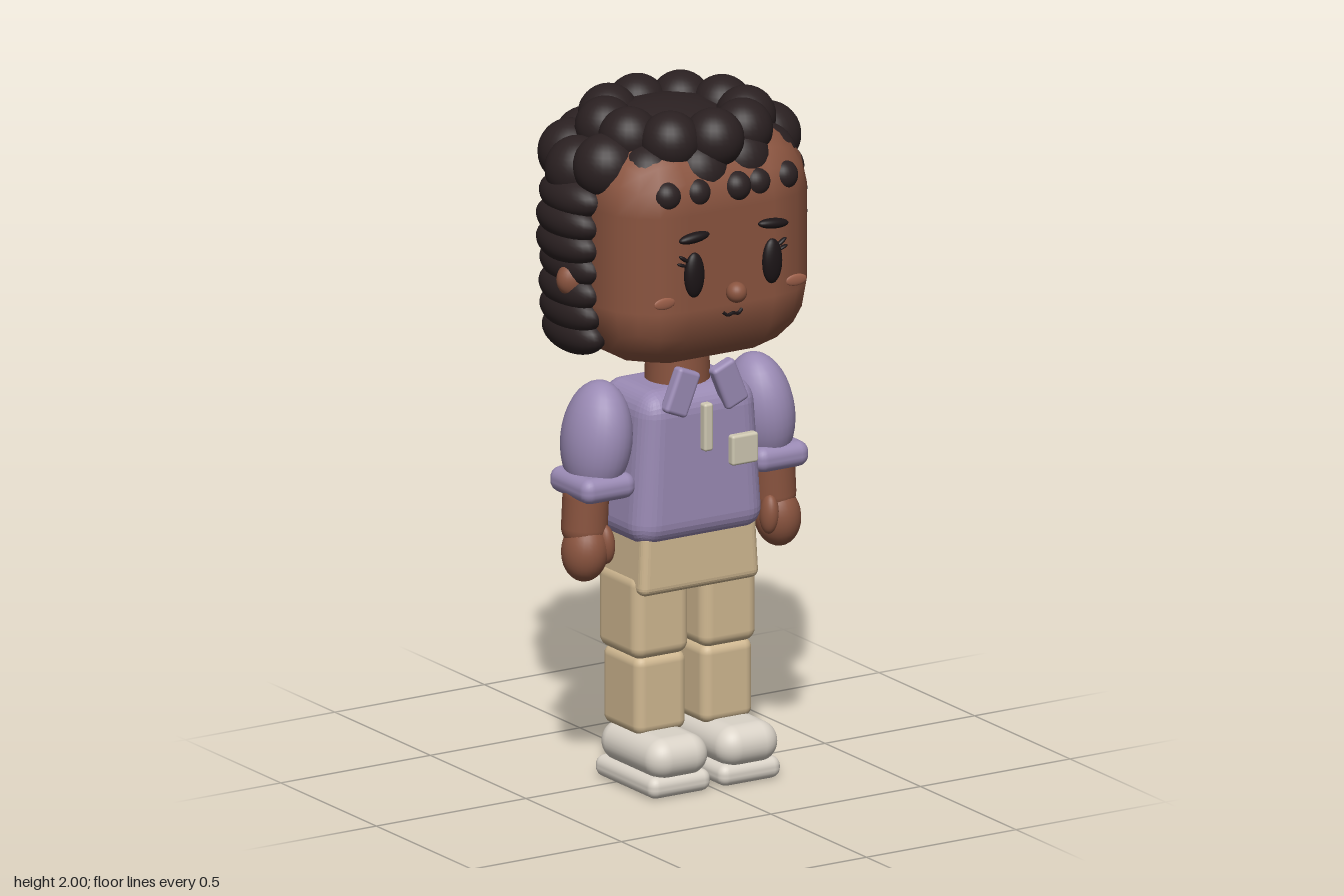
import * as THREE from 'three';
import { RoundedBoxGeometry } from 'three/addons/geometries/RoundedBoxGeometry.js';

const mat = (name, color) => {
  const m = new THREE.MeshStandardMaterial({ color });
  m.name = name;
  return m;
};

export function createModel() {
  const skin = mat('skin', 0x8a543f);
  const blush = mat('blush', 0x9c5f49);
  const hair = mat('hair', 0x2a2021);
  const dark = mat('eyeDark', 0x1c1517);
  const shirt = mat('shirt', 0x9a8ab4);
  const cream = mat('cream', 0xcfc8b2);
  const khaki = mat('khaki', 0xd0b891);
  const white = mat('shoeWhite', 0xdad3c8);

  const model = new THREE.Group();
  model.name = 'boy';

  const add = (name, geo, material, pos, rotZ = 0, parent = model) => {
    const m = new THREE.Mesh(geo, material);
    m.name = name;
    m.position.set(...pos);
    m.rotation.z = rotZ;
    parent.add(m);
    return m;
  };
  const ball = (rx, ry = rx, rz = rx) => new THREE.SphereGeometry(1, 28, 18).scale(rx, ry, rz);
  const box = (w, h, d, r, seg = 3) => new RoundedBoxGeometry(w, h, d, seg, r);
  // widen or narrow a geometry towards its top
  const taper = (geo, h, topX, topZ) => {
    const p = geo.attributes.position;
    for (let i = 0; i < p.count; i++) {
      const t = THREE.MathUtils.clamp(p.getY(i) / h + 0.5, 0, 1);
      p.setX(i, p.getX(i) * (1 + (topX - 1) * t));
      p.setZ(i, p.getZ(i) * (1 + (topZ - 1) * t));
    }
    geo.computeVertexNormals();
    return geo;
  };

  // head and neck
  add('head', box(0.68, 0.68, 0.55, 0.2, 2), skin, [0, 1.59, 0.025]);
  add('neck', new THREE.CylinderGeometry(0.09, 0.095, 0.2, 28), skin, [0, 1.19, 0.01]);

  // face
  add('nose', ball(0.03), skin, [0, 1.49, 0.32]);
  const smile = new THREE.CatmullRomCurve3([
    new THREE.Vector3(-0.032, 0.006, 0), new THREE.Vector3(-0.018, -0.004, 0.003),
    new THREE.Vector3(0, 0, 0.004), new THREE.Vector3(0.018, -0.004, 0.003),
    new THREE.Vector3(0.032, 0.006, 0)]);
  add('mouth', new THREE.TubeGeometry(smile, 16, 0.005, 6), dark, [0, 1.425, 0.298]);

  // hair cap with rings of curls
  const curls = new THREE.Group();
  curls.name = 'hair';
  model.add(curls);
  add('hairCap', ball(0.345, 0.25, 0.275), hair, [0, 1.72, -0.065], 0, curls);
  for (let i = 0; i < 10; i++) {
    const a = (i / 10) * Math.PI * 2;
    add('topCurl', ball(0.087), hair, [0.205 * Math.sin(a), 1.913, 0.2 * Math.cos(a)], 0, curls);
  }
  for (let i = 0; i < 13; i++) {
    const a = (i / 13) * Math.PI * 2 - 0.17;
    const y = 1.825 + 0.015 * Math.sin(i * 2.4);
    add('outerCurl', ball(0.095), hair, [0.3 * Math.sin(a), y, -0.03 + 0.22 * Math.cos(a)], 0, curls);
  }
  for (const [x, y, z] of [[-0.2, 1.72, -0.2], [-0.07, 1.71, -0.25], [0.07, 1.7, -0.25], [0.2, 1.72, -0.2], [0, 1.6, -0.215]])
    add('backCurl', ball(0.088), hair, [x, y, z], 0, curls);
  for (const x of [-0.19, -0.1, 0.03, 0.1, 0.2])
    add('fringeCurl', ball(0.045), hair, [x, 1.785, 0.27 - Math.abs(x) * 0.12], 0, curls);

  // torso
  add('shirtBody', taper(box(0.44, 0.45, 0.295, 0.07, 4), 0.45, 0.85, 0.96), shirt, [0, 0.94, 0.012]);
  add('placket', box(0.03, 0.14, 0.03, 0.008), cream, [0, 1.055, 0.163]);
  add('chestPocket', box(0.088, 0.088, 0.03, 0.008), cream, [0.122, 0.972, 0.163]);
  add('hips', taper(box(0.4, 0.19, 0.25, 0.025), 0.19, 0.95, 0.97), khaki, [0, 0.667, 0.014]);

  // mirrored parts
  for (const s of [1, -1]) {
    const side = new THREE.Group();
    side.name = s > 0 ? 'leftSide' : 'rightSide';
    model.add(side);
    const put = (name, geo, m, [x, y, z], rz = 0) => add(name, geo, m, [s * x, y, z], s * rz, side);

    // eye, lashes, brow, cheek, ear
    put('eye', ball(0.032, 0.066, 0.02), dark, [0.13, 1.557, 0.302]);
    put('lash', ball(0.02, 0.006, 0.008), dark, [0.162, 1.607, 0.3], 0.6);
    put('lash', ball(0.017, 0.005, 0.008), dark, [0.168, 1.59, 0.298], 0.35);
    put('eyebrow', ball(0.05, 0.015, 0.018), dark, [0.132, 1.668, 0.305], -0.1);
    put('cheek', ball(0.035, 0.017, 0.006), blush, [0.22, 1.483, 0.288]);
    put('ear', ball(0.06, 0.055, 0.042), skin, [0.352, 1.515, 0.03]);

    // column of side curls
    [[0.327, 1.345], [0.335, 1.41], [0.338, 1.475], [0.335, 1.545], [0.34, 1.61], [0.34, 1.675], [0.33, 1.745]]
      .forEach(([x, y], i) => put('sideCurl', ball(i > 3 ? 0.075 : 0.064, 0.063, 0.135), hair, [x, y, -0.02], i % 2 ? 0.15 : -0.1));

    // collar, sleeve, arm
    put('collar', box(0.078, 0.135, 0.04, 0.012), shirt, [0.08, 1.167, 0.152], 0.39);
    put('sleeve', ball(0.095, 0.17, 0.117), shirt, [0.272, 1.025, 0.012], 0.12);
    put('cuff', box(0.178, 0.075, 0.21, 0.033), shirt, [0.29, 0.903, 0.02]);
    put('forearm', new THREE.CapsuleGeometry(0.066, 0.09, 8, 24), skin, [0.313, 0.82, 0.017], 0.05);
    put('hand', ball(0.066, 0.088, 0.07), skin, [0.322, 0.708, 0.03], 0.1);
    put('thumb', ball(0.026, 0.058, 0.032), skin, [0.274, 0.728, 0.062], -0.05);

    // leg and shoe
    put('upperLeg', box(0.186, 0.25, 0.215, 0.035), khaki, [0.113, 0.505, 0.01]);
    put('lowerLeg', box(0.17, 0.235, 0.197, 0.03), khaki, [0.111, 0.272, 0.012]);
    put('shoeUpper', box(0.2, 0.12, 0.325, 0.0595, 5), white, [0.117, 0.109, 0.073]);
    put('sole', box(0.205, 0.064, 0.315, 0.028), white, [0.117, 0.032, 0.065]);
  }
  return model;
}
